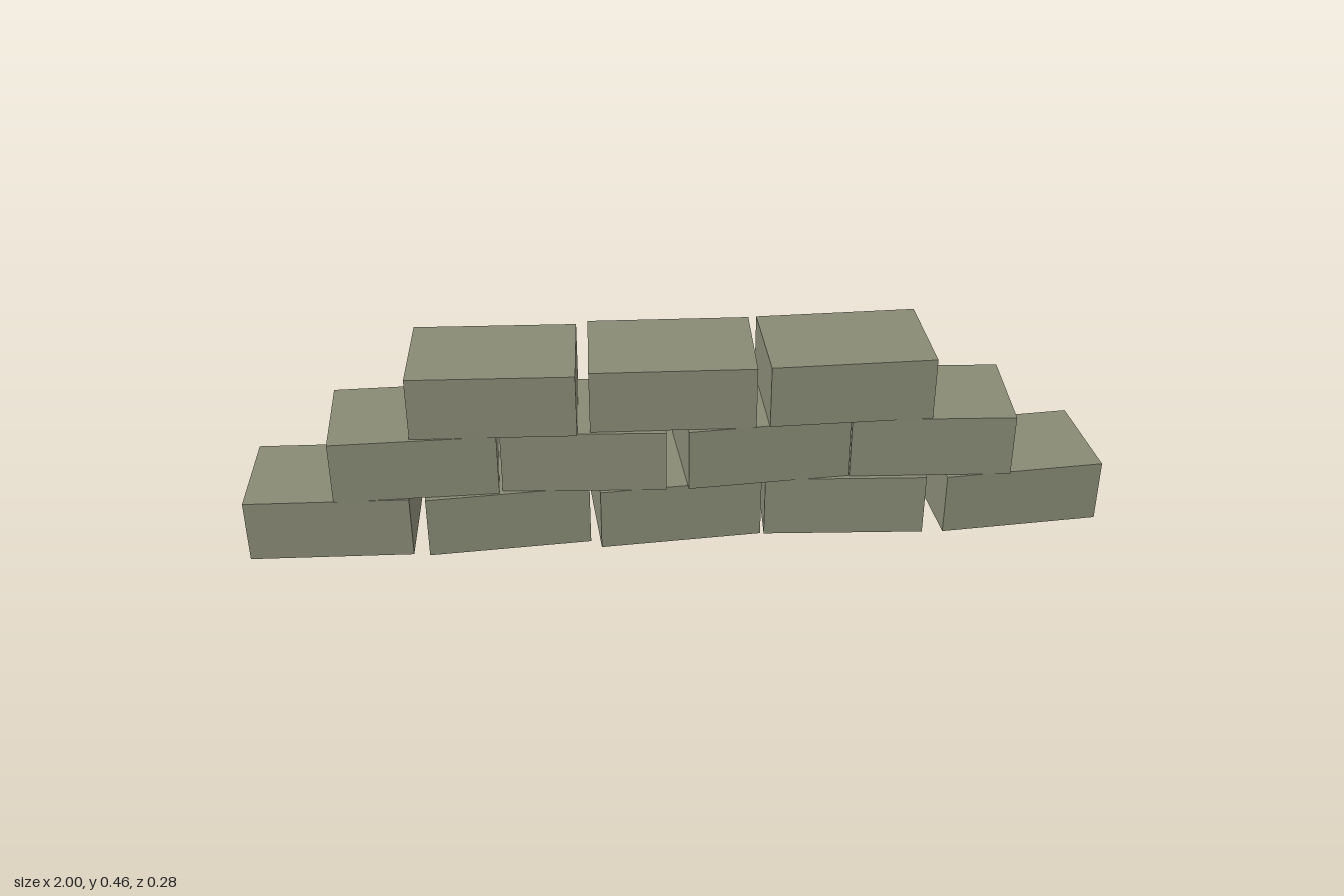
import * as THREE from 'three';

// Brick size
const LENGTH = 0.377, HEIGHT = 0.1525, DEPTH = 0.25;

// Courses from the ground up: [centre x, yaw] of every brick
const COURSES = [
  [[-0.807, -0.03], [-0.406, 0.07], [-0.006, 0.07], [0.395, -0.06], [0.803, 0.075]],
  [[-0.607, 0.02], [-0.212, -0.07], [0.198, 0.07], [0.592, -0.054]],
  [[-0.417, -0.04], [-0.012, -0.03], [0.39, 0.02]],
];

export function createModel() {
  const stone = new THREE.MeshStandardMaterial({ color: 0x888a75 });
  stone.name = 'greyGreenStone';
  const geometry = new THREE.BoxGeometry(LENGTH, HEIGHT, DEPTH);

  const wall = new THREE.Group();
  wall.name = 'steppedBrickWall';
  COURSES.forEach((bricks, row) => {
    const course = new THREE.Group();
    course.name = ['bottomCourse', 'middleCourse', 'topCourse'][row];
    course.position.y = HEIGHT * (row + 0.5);
    bricks.forEach(([x, yaw], i) => {
      const brick = new THREE.Mesh(geometry, stone);
      brick.name = `brick${i + 1}`;
      brick.position.x = x;
      brick.rotation.y = yaw;
      course.add(brick);
    });
    wall.add(course);
  });
  return wall;
}
